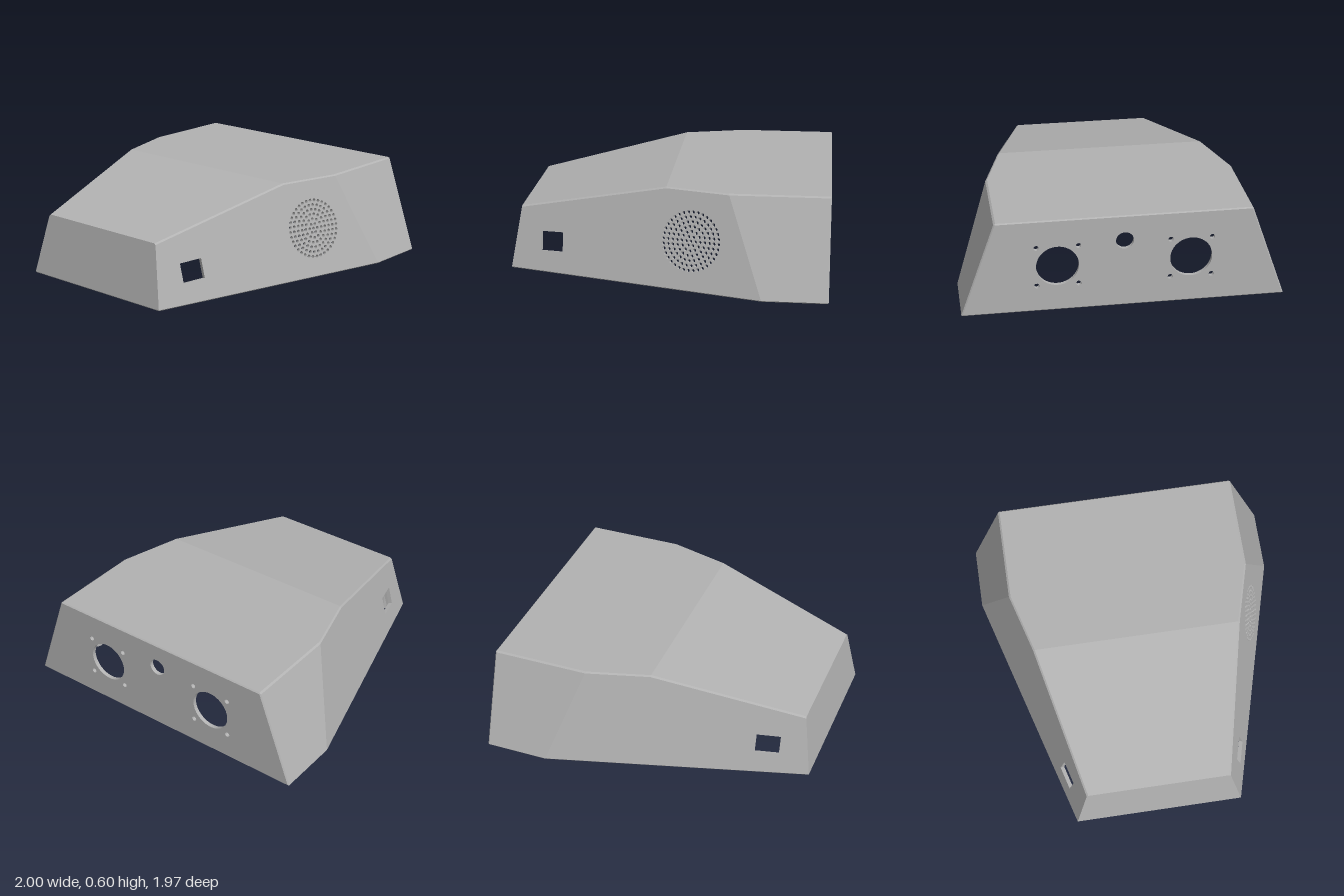
import * as THREE from 'three';
import { toCreasedNormals } from 'three/addons/utils/BufferGeometryUtils.js';

const T = 0.025; // wall thickness
const V = (x, y, z) => new THREE.Vector3(x, y, z);

// plane n.p = d through a point
function plane(n, p) {
  n.normalize();
  return { n, d: n.dot(p), holes: [] };
}

// chamfer plane cutting the edge between two planes
function chamfer(a, b, cut = 0.005) {
  const s = a.n.clone().add(b.n);
  const len = s.length();
  return { n: s.divideScalar(len), d: (a.d + b.d) / len - cut, holes: [] };
}

// axes lying in a plane
function basis(n) {
  const u = Math.abs(n.y) > 0.99 ? V(1, 0, 0) : V(0, 1, 0).cross(n).normalize();
  return { u, v: n.clone().cross(u) };
}

// face outline of plane f on the convex solid bounded by all planes
function outline(f, planes) {
  const { u, v } = basis(f.n), pts = [];
  for (let i = 0; i < planes.length; i++) for (let j = i + 1; j < planes.length; j++) {
    const a = planes[i], b = planes[j];
    const ab = a.n.clone().cross(b.n), det = f.n.dot(ab);
    if (a === f || b === f || Math.abs(det) < 1e-4) continue;
    const p = ab.multiplyScalar(f.d)
      .addScaledVector(b.n.clone().cross(f.n), a.d)
      .addScaledVector(f.n.clone().cross(a.n), b.d).divideScalar(det);
    if (planes.some(q => q.n.dot(p) > q.d + 1e-5)) continue;
    const s = new THREE.Vector2(p.dot(u), p.dot(v));
    if (!pts.some(q => q.distanceTo(s) < 1e-4)) pts.push(s);
  }
  const c = pts.reduce((m, p) => m.add(p), new THREE.Vector2()).divideScalar(pts.length || 1);
  return pts.sort((p, q) => Math.atan2(p.y - c.y, p.x - c.x) - Math.atan2(q.y - c.y, q.x - c.x));
}

// main faces
const top = plane(V(0, 1, 0), V(0, 0.6, 0));
const ramp = plane(V(-0.212, 0.938, 0), V(0, 0.6, 0));
const nose = plane(V(-0.388, 0.062, 0), V(-1, 0, 0));
const back = plane(V(1, 0, 0), V(1, 0, 0));
const floor = plane(V(0, -1, 0), V(0, 0, 0));
const flanks = [1, -1].map(s => plane(V(0, 0.355, s), V(1, 0, 0.985 * s)));
const sides = [1, -1].map(s => plane(V(-0.278, 0.256, s), V(0, 0, 0.818 * s)));
const walls = [top, ramp, nose, back, ...flanks, ...sides];
const onSide = (f, x, y) => V(x, y, (f.d - f.n.x * x - f.n.y * y) / f.n.z);

// height of the middle of the shell above (x, z)
const ceiling = (x, z) => Math.min(...walls.filter(f => f.n.y > 0.01)
  .map(f => (f.d - T / 2 - f.n.x * x - f.n.z * z) / f.n.y));

function addRound(f, p, r, seg, du = 0, dv = 0) {
  const { u, v } = basis(f.n), cx = p.dot(u) + du, cy = p.dot(v) + dv;
  f.holes.push(Array.from({ length: seg }, (_, i) => {
    const a = i / seg * Math.PI * 2;
    return new THREE.Vector2(cx + r * Math.cos(a), cy + r * Math.sin(a));
  }));
}

function drillHoles() {
  walls.forEach(f => { f.holes = []; });
  // side windows
  for (const f of sides) {
    const { u, v } = basis(f.n);
    const h = [[-0.805, 0.13], [-0.66, 0.136], [-0.66, 0.255], [-0.805, 0.248]].map(([x, y]) => {
      const p = onSide(f, x, y);
      return new THREE.Vector2(p.dot(u), p.dot(v));
    });
    f.holes.push(THREE.ShapeUtils.isClockWise(h) ? h.reverse() : h);
  }
  // speaker grille on the front side
  const c = onSide(sides[0], 0.16, 0.298);
  addRound(sides[0], c, 0.0105, 10);
  for (let k = 1; k <= 6; k++) for (let i = 0; i < 6 * k; i++) {
    const a = i / (6 * k) * Math.PI * 2;
    addRound(sides[0], c, 0.0105, 10, 0.0297 * k * Math.cos(a), 0.0297 * k * Math.sin(a));
  }
  // ports and screw holes in the end panel
  addRound(back, V(1, 0.437, 0), 0.054, 32);
  for (const s of [1, -1]) {
    addRound(back, V(1, 0.298, 0.403 * s), 0.128, 48);
    for (const dy of [-0.126, 0.126]) for (const dz of [-0.126, 0.126])
      addRound(back, V(1, 0.298 + dy, 0.403 * s + dz), 0.016, 14);
  }
}

function shellGeometry() {
  drillHoles();
  const pos = [];
  const addFace = (f, pts, holes, flip) => {
    if (pts.length < 3) return;
    const { u, v } = basis(f.n), shape = new THREE.Shape(pts);
    shape.holes = holes.map(h => new THREE.Path(h));
    const m = new THREE.Matrix4().makeBasis(u, v, f.n).setPosition(f.n.clone().multiplyScalar(f.d));
    const a = new THREE.ShapeGeometry(shape).toNonIndexed().applyMatrix4(m).attributes.position;
    for (let i = 0; i < a.count; i += 3) for (const k of flip ? [0, 2, 1] : [0, 1, 2])
      pos.push(a.getX(i + k), a.getY(i + k), a.getZ(i + k));
  };
  const bevels = [[top, flanks[0]], [top, flanks[1]], [top, sides[0]], [top, sides[1]],
    [ramp, sides[0]], [ramp, sides[1]], [back, flanks[0]], [back, flanks[1]], [back, top],
    ...[nose, back, ...flanks, ...sides].map(f => [floor, f])].map(([a, b]) => chamfer(a, b));
  const outer = [...walls, floor, ...bevels];
  const inner = [...walls.map(f => ({ ...f, d: f.d - T })), floor];
  // outer skin, inner skin and bottom rim
  for (const f of outer) if (f !== floor) addFace(f, outline(f, outer), f.holes, false);
  for (const f of inner) if (f !== floor) addFace(f, outline(f, inner), f.holes, true);
  addFace(floor, outline(floor, outer), [outline(floor, inner)], false);
  // hole walls through the shell
  for (const f of walls) {
    const { u, v } = basis(f.n);
    const at = (p, d) => V(0, 0, 0).addScaledVector(u, p.x).addScaledVector(v, p.y).addScaledVector(f.n, d);
    for (const h of f.holes) h.forEach((p, i) => {
      const q = h[(i + 1) % h.length];
      const a = at(p, f.d), b = at(q, f.d), c = at(q, f.d - T), e = at(p, f.d - T);
      for (const w of [a, b, c, a, c, e]) pos.push(w.x, w.y, w.z);
    });
  }
  const g = new THREE.BufferGeometry();
  g.setAttribute('position', new THREE.Float32BufferAttribute(pos, 3));
  g.computeVertexNormals();
  return g;
}

// flat ring extruded by depth
function ring(R, r, depth) {
  const s = new THREE.Shape().absarc(0, 0, R, 0, Math.PI * 2, false);
  s.holes.push(new THREE.Path().absarc(0, 0, r, 0, Math.PI * 2, true));
  return new THREE.ExtrudeGeometry(s, { depth, bevelEnabled: false, curveSegments: 24 });
}

// vertical screw post whose upper end follows the shell
function postGeometry(x, z, y0, R, r) {
  const g = ring(R, r, 1).rotateX(-Math.PI / 2).translate(x, 0, z), p = g.attributes.position;
  for (let i = 0; i < p.count; i++)
    p.setY(i, p.getY(i) > 0.5 ? ceiling(p.getX(i), p.getZ(i)) : y0);
  return toCreasedNormals(g, 0.6);
}

export function createModel() {
  const group = new THREE.Group();
  const grey = new THREE.MeshStandardMaterial({ color: 0xb2b2b2 });
  grey.name = 'grey plastic';
  const add = (name, geo) => {
    const m = new THREE.Mesh(geo, grey);
    m.name = name;
    group.add(m);
    return m;
  };
  add('housingShell', shellGeometry());

  // screw posts along both sides, and a boss under the lid
  for (const s of [1, -1]) for (const [x, z] of [[0.9, 0.77], [0.62, 0.865], [-0.16, 0.665], [-0.9, 0.44]])
    add('screwPost', postGeometry(x, z * s, 0.02, 0.05, 0.02));
  add('lidBoss', postGeometry(0.12, 0.35, 0.5, 0.055, 0.03));

  // rails beside the side windows
  for (const f of sides) for (const x of [-0.56, -0.86]) {
    const { u, v } = basis(f.n);
    const rail = add('windowRail', new THREE.BoxGeometry(0.035, 0.27, 0.04));
    rail.quaternion.setFromRotationMatrix(new THREE.Matrix4().makeBasis(u, v, f.n));
    rail.position.copy(onSide(f, x, 0.2)).addScaledVector(f.n, -T - 0.015);
  }

  // hanging ring bracket
  const plate = new THREE.Shape().moveTo(0.2, 0.47).lineTo(-0.2, 0.47).lineTo(-0.2, 0.21);
  plate.absarc(0, 0.21, 0.2, Math.PI, Math.PI * 2, false);
  plate.holes.push(new THREE.Path().absarc(0, 0.21, 0.145, 0, Math.PI * 2, true));
  const plateGeo = new THREE.ExtrudeGeometry(plate, { depth: 0.05, bevelEnabled: false, curveSegments: 24 });
  add('bracketPlate', toCreasedNormals(plateGeo, 0.6)).position.x = -0.5;
  add('bracketRing', toCreasedNormals(ring(0.18, 0.145, 0.08), 0.6)).position.set(-0.45, 0.21, 0);
  for (const m of group.children.slice(-2)) m.rotation.y = Math.PI / 2;
  return group;
}
